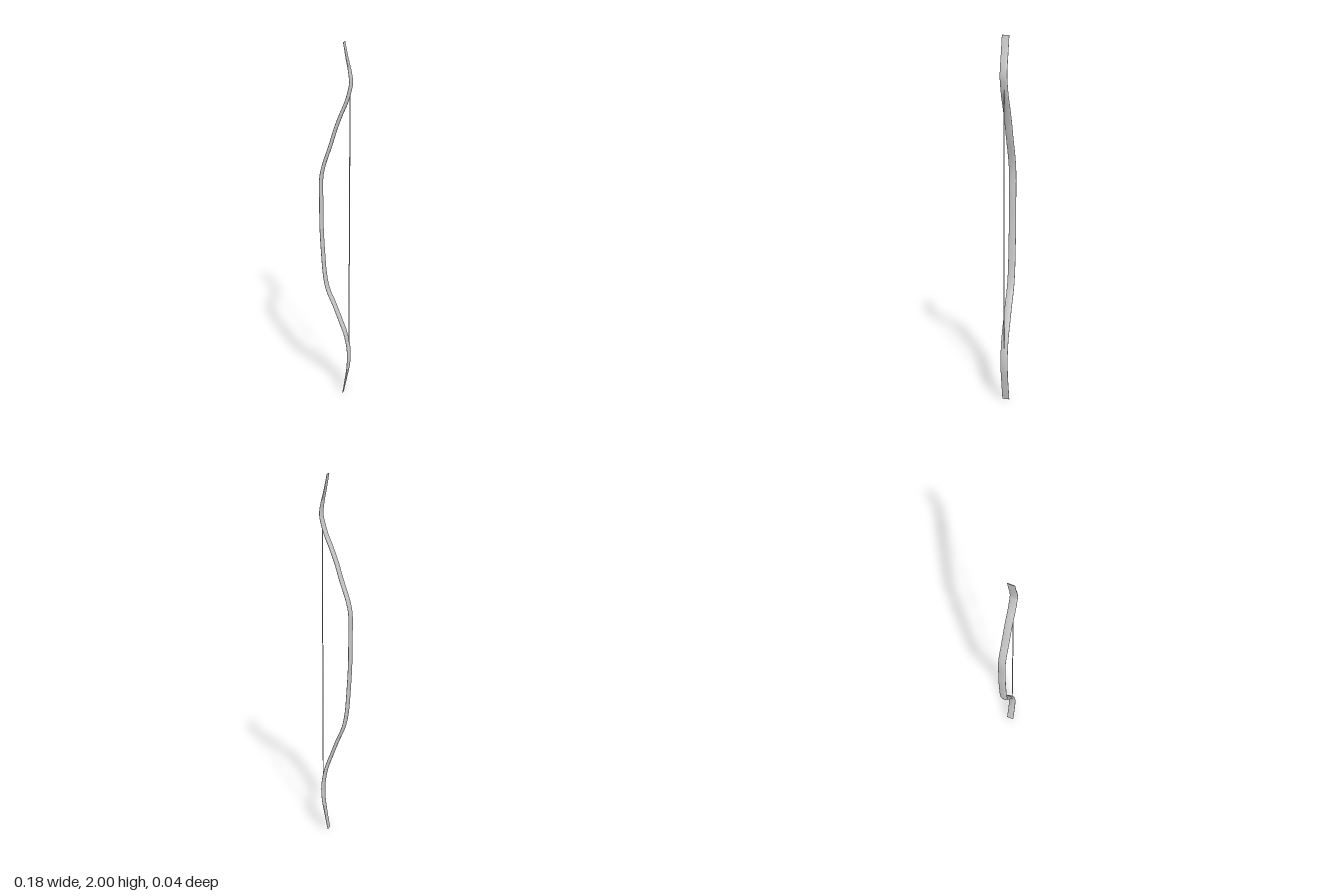
import * as THREE from 'three';

const material = new THREE.MeshStandardMaterial({ color: 0xcccccc });

// Centre line of the recurved stave, bottom to top: [x, y]
const LINE = [
  [0.042, 0], [0.056, 0.077], [0.071, 0.172], [0.074, 0.246], [0.069, 0.30],
  [0.053, 0.373], [0.024, 0.452], [-0.008, 0.537], [-0.045, 0.627], [-0.061, 0.706],
  [-0.072, 0.84], [-0.08, 1.0], [-0.081, 1.155], [-0.082, 1.21], [-0.079, 1.278],
  [-0.066, 1.34], [-0.03, 1.45], [-0.002, 1.543], [0.025, 1.617], [0.055, 1.69],
  [0.072, 1.75], [0.079, 1.79], [0.074, 1.84], [0.056, 1.925], [0.042, 2],
];
const HALF_WIDTH = 0.02;
const SIDES = 20;
const STEPS = 160;

// Half thickness, thinning towards both tips
function halfThickness(y) {
  const fromTip = Math.min(y, 2 - y);
  return 0.0012 + 0.0078 * THREE.MathUtils.smoothstep(fromTip, -0.05, 0.26);
}

// Sweep a rounded, flat section along the centre line
function staveGeometry() {
  const curve = new THREE.CatmullRomCurve3(LINE.map(([x, y]) => new THREE.Vector3(x, y, 0)));
  const positions = [];
  const index = [];
  const soften = (v) => Math.sign(v) * Math.abs(v) ** 0.75;
  const ring = (i) => {
    const p = curve.getPointAt(i / STEPS);
    const t = curve.getTangentAt(i / STEPS);
    const h = halfThickness(p.y);
    const level = i === 0 || i === STEPS; // tips are cut level
    for (let j = 0; j < SIDES; j++) {
      const a = (j / SIDES) * Math.PI * 2;
      const n = h * soften(Math.cos(a));
      positions.push(p.x + n * t.y, level ? p.y : p.y - n * t.x, HALF_WIDTH * soften(Math.sin(a)));
    }
  };
  for (let i = 0; i <= STEPS; i++) ring(i);
  for (let i = 0; i < STEPS; i++) {
    for (let j = 0; j < SIDES; j++) {
      const k = (j + 1) % SIDES;
      const a = i * SIDES + j, b = i * SIDES + k;
      index.push(a, a + SIDES, b, b, a + SIDES, b + SIDES);
    }
  }
  // End caps on their own vertices, so the rims stay sharp
  for (const end of [0, STEPS]) {
    const start = positions.length / 3;
    ring(end);
    for (let j = 1; j < SIDES - 1; j++) {
      if (end === 0) index.push(start, start + j, start + j + 1);
      else index.push(start, start + j + 1, start + j);
    }
  }
  const geometry = new THREE.BufferGeometry();
  geometry.setAttribute('position', new THREE.Float32BufferAttribute(positions, 3));
  geometry.setIndex(index);
  geometry.computeVertexNormals();
  return geometry;
}

export function createModel() {
  const bow = new THREE.Group();
  bow.name = 'bow';

  const stave = new THREE.Mesh(staveGeometry(), material);
  stave.name = 'stave';
  bow.add(stave);

  // Taut string between the two limbs
  const bottom = 0.27, top = 1.75;
  const string = new THREE.Mesh(new THREE.CylinderGeometry(0.0028, 0.0028, top - bottom, 8), material);
  string.name = 'bowstring';
  string.position.set(0.074, (top + bottom) / 2, 0);
  bow.add(string);

  return bow;
}
